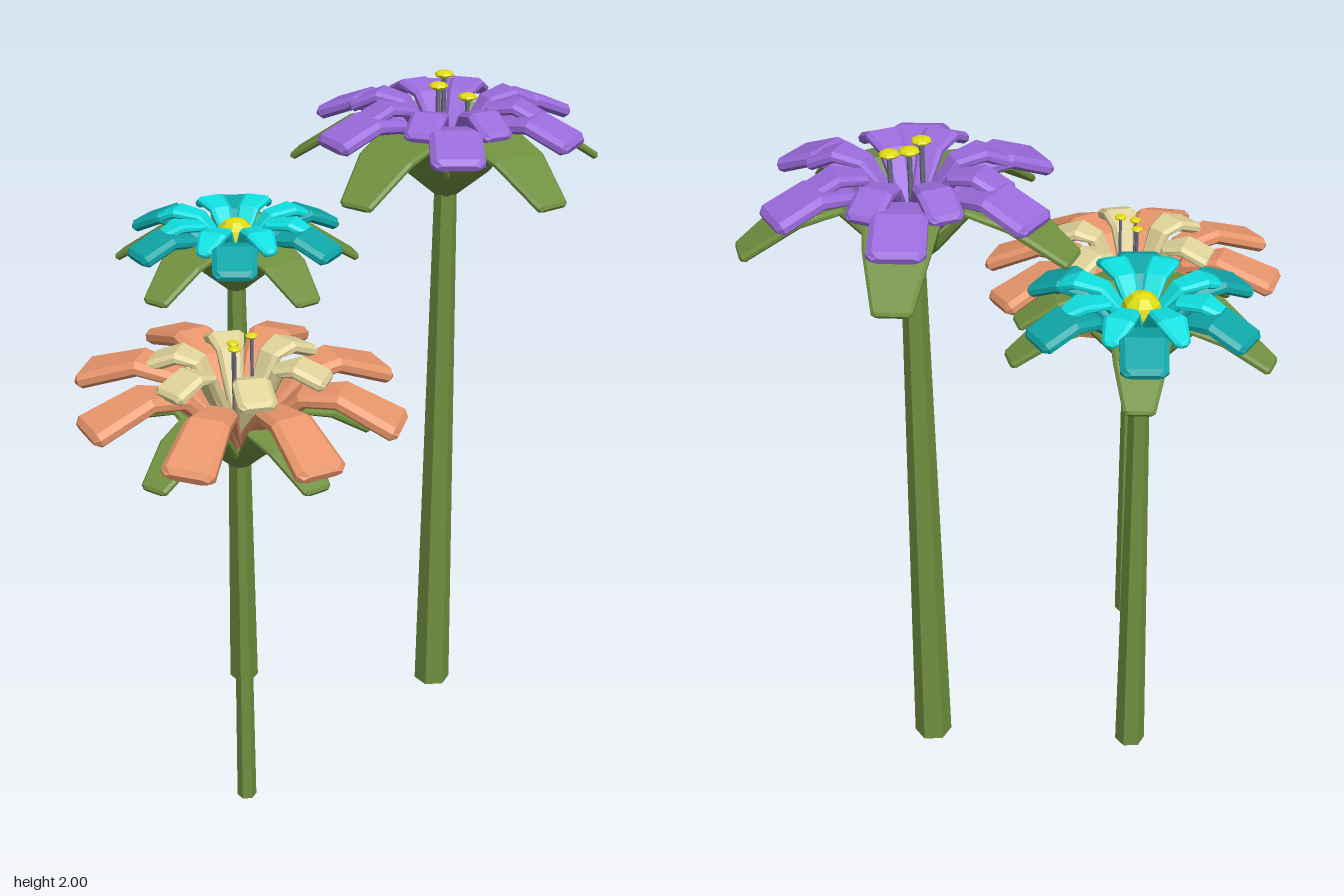
import * as THREE from 'three';

const mat = (color) => new THREE.MeshStandardMaterial({ color, flatShading: true });
const GREEN = mat(0x70903f), YELLOW = mat(0xe0dc10), STALK = mat(0x6a6a80);

// Bevelled strip swept along a profile of [radius, height, width] stations
function stripGeometry(stations, thick, bevel) {
  const st = stations.map((s) => [...s, thick]);
  const [a, b] = st.slice(-2);
  // extra smaller station rounds the tip
  const len = Math.hypot(b[0] - a[0], b[1] - a[1]);
  const k = 1 - bevel / len;
  const lerp = a.map((v, i) => v + (b[i] - v) * k);
  st.splice(-1, 1, lerp, [b[0], b[1], Math.max(b[2] - 2 * bevel, 0.01), thick * 0.45]);

  const pos = [], idx = [];
  st.forEach(([r, y, w, t], i) => {
    const p = st[Math.max(i - 1, 0)], q = st[Math.min(i + 1, st.length - 1)];
    const l = Math.hypot(q[0] - p[0], q[1] - p[1]);
    const nx = -(q[1] - p[1]) / l, ny = (q[0] - p[0]) / l;
    const h = t / 2, hw = w / 2, c = Math.min(bevel, hw * 0.4);
    const section = [[h, -hw + c], [h, hw - c], [h * 0.4, hw], [-h * 0.4, hw],
      [-h, hw - c], [-h, -hw + c], [-h * 0.4, -hw], [h * 0.4, -hw]];
    for (const [n, z] of section) pos.push(r + nx * n, y + ny * n, z);
  });
  const last = (st.length - 1) * 8;
  for (let s = 0; s < last; s += 8) {
    for (let j = 0; j < 8; j++) {
      const m = (j + 1) % 8;
      idx.push(s + j, s + m, s + 8 + j, s + m, s + 8 + m, s + 8 + j);
    }
  }
  for (let j = 1; j < 7; j++) idx.push(0, j + 1, j, last, last + j, last + j + 1);
  const g = new THREE.BufferGeometry();
  g.setAttribute('position', new THREE.Float32BufferAttribute(pos, 3));
  g.setIndex(idx);
  g.computeVertexNormals();
  return g;
}

// Ring of identical strips around the flower axis
function ring(name, count, offset, stations, thick, bevel, material) {
  const group = new THREE.Group();
  group.name = name + 's';
  const geo = stripGeometry(stations, thick, bevel);
  for (let i = 0; i < count; i++) {
    const m = new THREE.Mesh(geo, material);
    m.name = name;
    m.rotation.y = -THREE.MathUtils.degToRad(offset + (i * 360) / count);
    group.add(m);
  }
  return group;
}

// Hexagonal tapering stem with five drooping sepals on top
function base(name, x, z, height, rBottom, rTop, scale) {
  const flower = new THREE.Group();
  flower.name = name;
  flower.position.set(x, 0, z);
  const stem = new THREE.Mesh(new THREE.CylinderGeometry(rTop, rBottom, height + 0.03, 6), GREEN);
  stem.name = 'stem';
  stem.position.y = (height + 0.03) / 2;
  flower.add(stem);
  const profile = [[0.02, 0, 0.05], [0.1, 0.08, 0.15], [0.2, 0.2, 0.2], [0.31, 0.17, 0.175], [0.46, 0.07, 0.1]]
    .map(([r, y, w]) => [r * scale, height + y * scale, w * scale]);
  flower.add(ring('sepal', 5, 18, profile, 0.022, 0.008, GREEN));
  return flower;
}

// Thin stalks carrying flattened yellow heads
function stamens(flower, bottom, r, heads) {
  for (const [x, y, z] of heads) {
    const h = y - bottom;
    const stalk = new THREE.Mesh(new THREE.CylinderGeometry(r * 0.25, r * 0.25, h, 6), STALK);
    stalk.name = 'stamenStalk';
    stalk.position.set(x, bottom + h / 2, z);
    const head = new THREE.Mesh(new THREE.SphereGeometry(r, 8, 6), YELLOW);
    head.name = 'stamenHead';
    head.scale.y = 0.4;
    head.position.set(x, y, z);
    flower.add(stalk, head);
  }
}

export function createModel() {
  const model = new THREE.Group();
  model.name = 'flowers';

  // Tall purple flower
  const purple = base('purpleFlower', 0.43, 0.02, 1.66, 0.056, 0.033, 1);
  const violet = mat(0x9a6bdc);
  purple.add(
    ring('outerPetal', 6, 5, [[0.03, 1.73, 0.04], [0.18, 1.885, 0.11], [0.27, 1.9, 0.145], [0.395, 1.85, 0.15]], 0.04, 0.016, violet),
    ring('innerPetal', 8, 10, [[0.03, 1.78, 0.03], [0.13, 1.915, 0.075], [0.2, 1.93, 0.1], [0.285, 1.89, 0.095]], 0.032, 0.012, violet));
  stamens(purple, 1.75, 0.028, [[-0.045, 1.98, 0.01], [0.03, 1.945, 0.05], [0.025, 1.99, -0.05]]);

  // Middle cyan flower with a domed centre
  const cyan = base('cyanFlower', -0.06, -0.35, 1.36, 0.045, 0.027, 0.81);
  cyan.add(
    ring('outerPetal', 6, 4, [[0.03, 1.42, 0.04], [0.16, 1.535, 0.1], [0.23, 1.55, 0.13], [0.33, 1.505, 0.125]], 0.036, 0.014, mat(0x0fa6a8)),
    ring('innerPetal', 8, 10, [[0.02, 1.46, 0.03], [0.11, 1.565, 0.065], [0.18, 1.575, 0.085], [0.255, 1.54, 0.04]], 0.026, 0.01, mat(0x10dfe0)));
  const dome = new THREE.Mesh(new THREE.SphereGeometry(0.058, 8, 6), YELLOW);
  dome.name = 'flowerCentre';
  dome.position.y = 1.515;
  cyan.add(dome);

  // Short orange flower with a cream inner ring
  const orange = base('orangeFlower', -0.42, 0.2, 1.1, 0.028, 0.02, 0.79);
  const outer = ring('outerPetal', 8, 6, [[0.03, 1.17, 0.035], [0.18, 1.33, 0.095], [0.28, 1.35, 0.12], [0.45, 1.285, 0.145]], 0.045, 0.016, mat(0xe8956a));
  // outer ring leans slightly forward
  outer.rotation.x = 0.08;
  outer.position.set(0, 0.004, -0.1);
  orange.add(outer,
    ring('innerPetal', 6, -8, [[0.025, 1.2, 0.03], [0.115, 1.385, 0.075], [0.165, 1.4, 0.1], [0.25, 1.365, 0.105]], 0.034, 0.012, mat(0xe0d49a)));
  stamens(orange, 1.18, 0.018, [[0, 1.44, -0.025], [-0.025, 1.445, 0.02], [0.03, 1.47, 0.02]]);

  model.add(purple, cyan, orange);
  return model;
}
